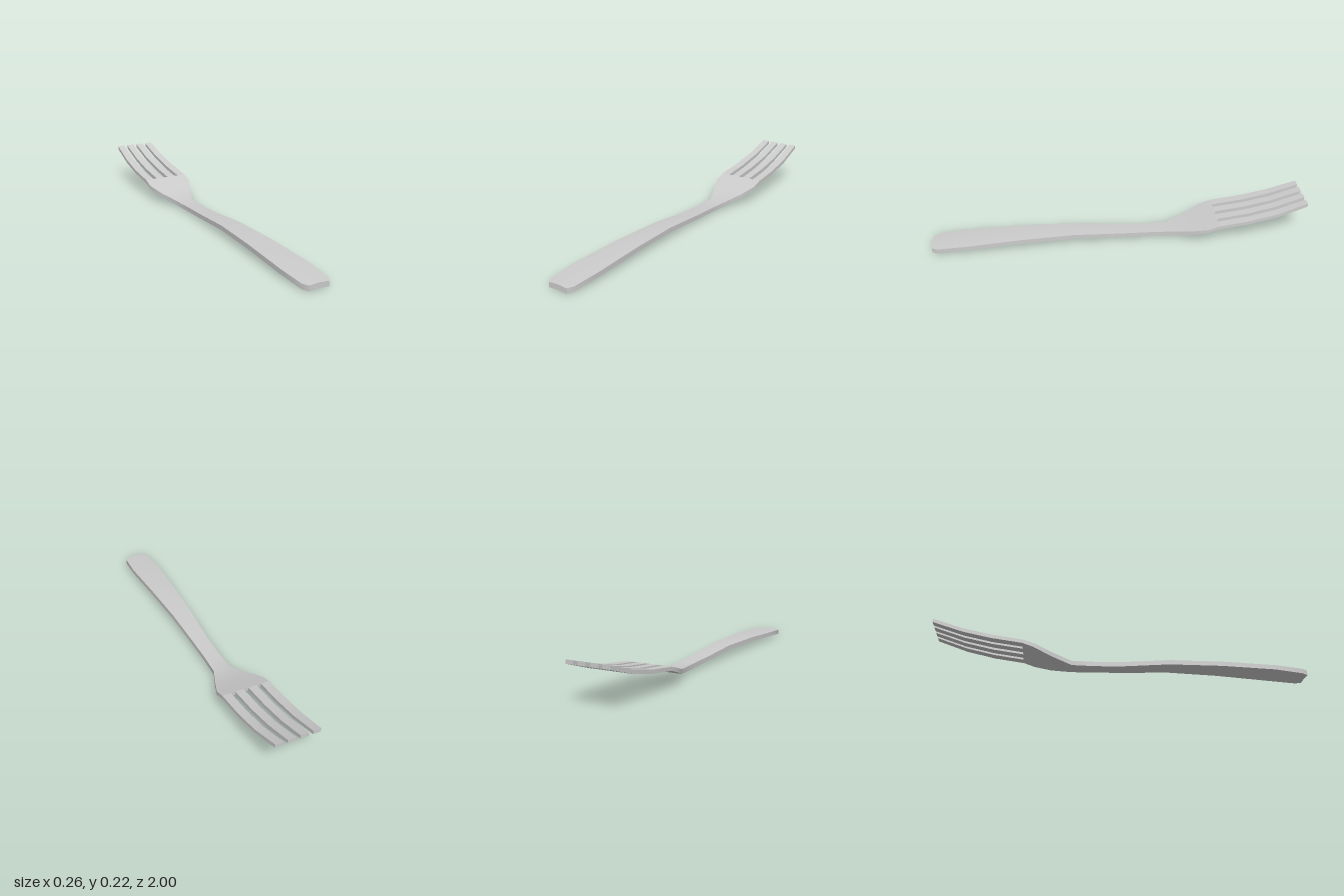
import * as THREE from 'three';
import { toCreasedNormals } from 'three/addons/utils/BufferGeometryUtils.js';

const material = new THREE.MeshStandardMaterial({ color: 0xcccccc });

// Loft along -z. Each section: [z, xMin, xMax, yTop, thickness, crown at the middle]
function loft(name, sections, capStart, capEnd) {
  const pos = [], idx = [];
  for (const [z, x0, x1, y, t, c] of sections) {
    const xm = (x0 + x1) / 2;
    // loop: top left to right, then bottom right to left
    pos.push(x0, y, z, xm, y + c, z, x1, y, z, x1, y - t, z, xm, y - t + c, z, x0, y - t, z);
  }
  const n = 6;
  for (let s = 0; s < sections.length - 1; s++) {
    for (let i = 0; i < n; i++) {
      const a = s * n + i, b = s * n + (i + 1) % n;
      idx.push(a, b, b + n, a, b + n, a + n);
    }
  }
  const cap = (o, flip) => {
    for (const [a, b, c] of [[0, 5, 4], [0, 4, 1], [1, 4, 3], [1, 3, 2]]) {
      idx.push(o + a, o + (flip ? c : b), o + (flip ? b : c));
    }
  };
  if (capStart) cap(0, false);
  if (capEnd) cap((sections.length - 1) * n, true);
  const geo = new THREE.BufferGeometry();
  geo.setAttribute('position', new THREE.Float32BufferAttribute(pos, 3));
  geo.setIndex(idx);
  const mesh = new THREE.Mesh(toCreasedNormals(geo, 0.5), material);
  mesh.name = name;
  return mesh;
}

export function createModel() {
  const group = new THREE.Group();
  group.name = 'fork';

  // Handle, neck and head: [z, half width, yTop, thickness, crown]
  const body = [
    [1, 0.054, 0.027, 0.027, 0.004],
    [0.97, 0.071, 0.029, 0.026, 0.004],
    [0.82, 0.079, 0.041, 0.025, 0.003],
    [0.53, 0.068, 0.055, 0.025, 0.003],
    [0.25, 0.055, 0.058, 0.025, 0.003],
    [0, 0.044, 0.041, 0.025, 0.002],
    [-0.14, 0.042, 0.037, 0.025, 0.001],
    [-0.27, 0.047, 0.036, 0.025, 0],
    [-0.38, 0.093, 0.061, 0.024, 0],
    [-0.47, 0.128, 0.09, 0.021, 0],
    [-0.53, 0.128, 0.11, 0.02, 0],
  ];
  group.add(loft('handleAndHead', body.map(([z, w, y, t, c]) => [z, -w, w, y, t, c]), true, false));

  // Four tines, mirrored in pairs: [z, yTop, outer tine edges, inner tine edges]
  const tine = [
    [-0.53, 0.11, [0.082, 0.128], [0.013, 0.058]],
    [-0.69, 0.131, [0.081, 0.127], [0.013, 0.057]],
    [-0.84, 0.163, [0.079, 0.123], [0.012, 0.055]],
    [-1, 0.216, [0.075, 0.115], [0.011, 0.053]],
  ];
  for (const side of [1, -1]) {
    for (const [name, k] of [['outerTine', 2], ['innerTine', 3]]) {
      const sections = tine.map((s) => {
        const [a, b] = s[k];
        return side > 0 ? [s[0], a, b, s[1], 0.02, 0] : [s[0], -b, -a, s[1], 0.02, 0];
      });
      group.add(loft(name, sections, false, true));
    }
  }

  // Walls closing the slots between the tines
  for (const [a, b] of [[-0.082, -0.058], [-0.013, 0.013], [0.058, 0.082]]) {
    const wall = new THREE.Mesh(new THREE.PlaneGeometry(b - a, 0.02), material);
    wall.rotation.y = Math.PI;
    wall.position.set((a + b) / 2, 0.1, -0.53);
    wall.name = 'slotWall';
    group.add(wall);
  }
  return group;
}
